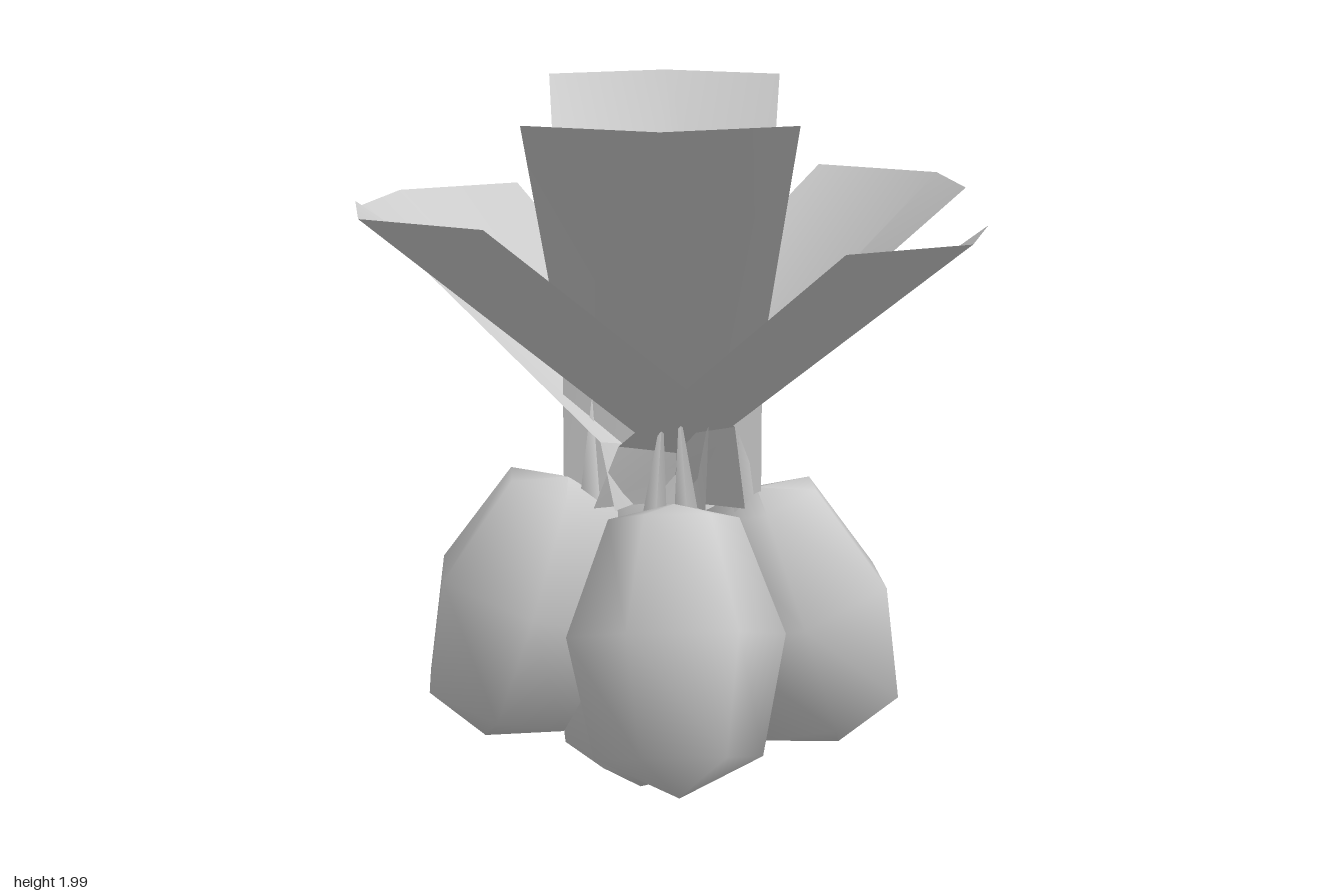
import * as THREE from 'three';

const grey = new THREE.MeshStandardMaterial({ color: 0xcccccc });
const thin = new THREE.MeshStandardMaterial({ color: 0xcccccc, side: THREE.DoubleSide });

// Folded sheet between two three-point cross-sections
function sheet(name, top, bottom) {
  const g = new THREE.BufferGeometry();
  g.setAttribute('position', new THREE.Float32BufferAttribute([...top, ...bottom].flat(), 3));
  const index = [];
  for (let i = 0; i < 2; i++) index.push(i, i + 3, i + 1, i + 1, i + 3, i + 4);
  g.setIndex(index);
  g.computeVertexNormals();
  const mesh = new THREE.Mesh(g, thin);
  mesh.name = name;
  return mesh;
}

// Leaf: spreading blade above, steeper sheath below
function makeLeaf({ tip, bend, base }) {
  const leaf = new THREE.Group();
  leaf.name = 'leaf';
  leaf.add(sheet('leafBlade', tip, bend), sheet('leafSheath', bend, base));
  return leaf;
}

// Cross-sections run side, ridge, side; shift places the opposite leaf
const leaves = [
  {
    tip: [[-0.36, 2, 0.79], [-0.01, 2, 0.95], [0.34, 2, 0.79]],
    bend: [[-0.29, 1.28, 0.03], [-0.01, 1.15, 0.05], [0.27, 1.28, 0.02]],
    base: [[-0.29, 0.86, 0.02], [-0.01, 0.86, 0.07], [0.27, 0.86, 0.01]],
    shift: [-0.02, -0.01],
  },
  {
    tip: [[0.46, 1.67, 0.75], [0.8, 1.67, 0.56], [0.88, 1.67, 0.18]],
    bend: [[-0.13, 1.06, 0.22], [0.08, 1.0, 0.05], [0.18, 1.07, -0.25]],
    base: [[-0.2, 0.88, 0.2], [0.02, 0.86, 0.02], [0.14, 0.88, -0.27]],
    shift: [0, -0.04],
  },
  {
    tip: [[-0.85, 1.73, 0.14], [-0.8, 1.73, 0.52], [-0.46, 1.73, 0.73]],
    bend: [[-0.12, 1.15, -0.23], [-0.06, 1.04, 0.04], [0.19, 1.12, 0.24]],
    base: [[-0.11, 0.88, -0.26], [0, 0.86, 0.01], [0.22, 0.88, 0.2]],
    shift: [0, -0.03],
  },
];

// Plump six-sided fruit with smooth shading, a flat side turned outward
const fruitProfile = [[0, -0.4], [0.23, -0.29], [0.3, 0.04], [0.18, 0.36], [0, 0.4]]
  .map(([r, y]) => new THREE.Vector2(r, y));
const fruitGeometry = new THREE.LatheGeometry(fruitProfile, 6).rotateY(Math.PI / 6);

function makeFruit(name, x, y, z) {
  const fruit = new THREE.Mesh(fruitGeometry, grey);
  fruit.name = name;
  fruit.position.set(x, y, z);
  return fruit;
}

// Height and distance from the middle: front, left, back, right of the ring
const ring = [[0.54, 0.44], [0.51, 0.38], [0.56, 0.45], [0.55, 0.4]];

export function createModel() {
  const model = new THREE.Group();
  model.name = 'fruitBunch';

  // Three leaves, repeated by a half turn
  for (const spec of leaves) {
    const opposite = makeLeaf(spec);
    opposite.rotation.y = Math.PI;
    opposite.position.set(spec.shift[0], 0, spec.shift[1]);
    model.add(makeLeaf(spec), opposite);
  }

  // Ring of four fruits, each with a pair of narrow sepals
  ring.forEach(([y, r], k) => {
    const arm = new THREE.Group();
    arm.name = 'hangingFruit';
    arm.rotation.y = 0.07 + k * Math.PI / 2;
    const fruit = makeFruit('fruit', 0, y, r);
    fruit.rotation.x = -0.31;
    arm.add(fruit);
    for (const s of [-1, 1]) {
      const sepal = new THREE.Mesh(new THREE.ConeGeometry(0.045, 0.36, 3), grey);
      sepal.name = 'sepal';
      sepal.position.set(s * 0.035, 0.99, 0.21);
      sepal.rotation.z = s * 0.07;
      arm.add(sepal);
    }
    model.add(arm);
  });

  // Lowest fruit in the middle and the short stalk above it
  const lowest = makeFruit('lowestFruit', -0.03, 0.41, 0.03);
  lowest.rotation.z = -0.11;
  const stalk = new THREE.Mesh(new THREE.CylinderGeometry(0.035, 0.045, 0.3, 6), grey);
  stalk.name = 'stalk';
  stalk.position.set(-0.02, 0.85, -0.01);
  model.add(lowest, stalk);

  return model;
}
